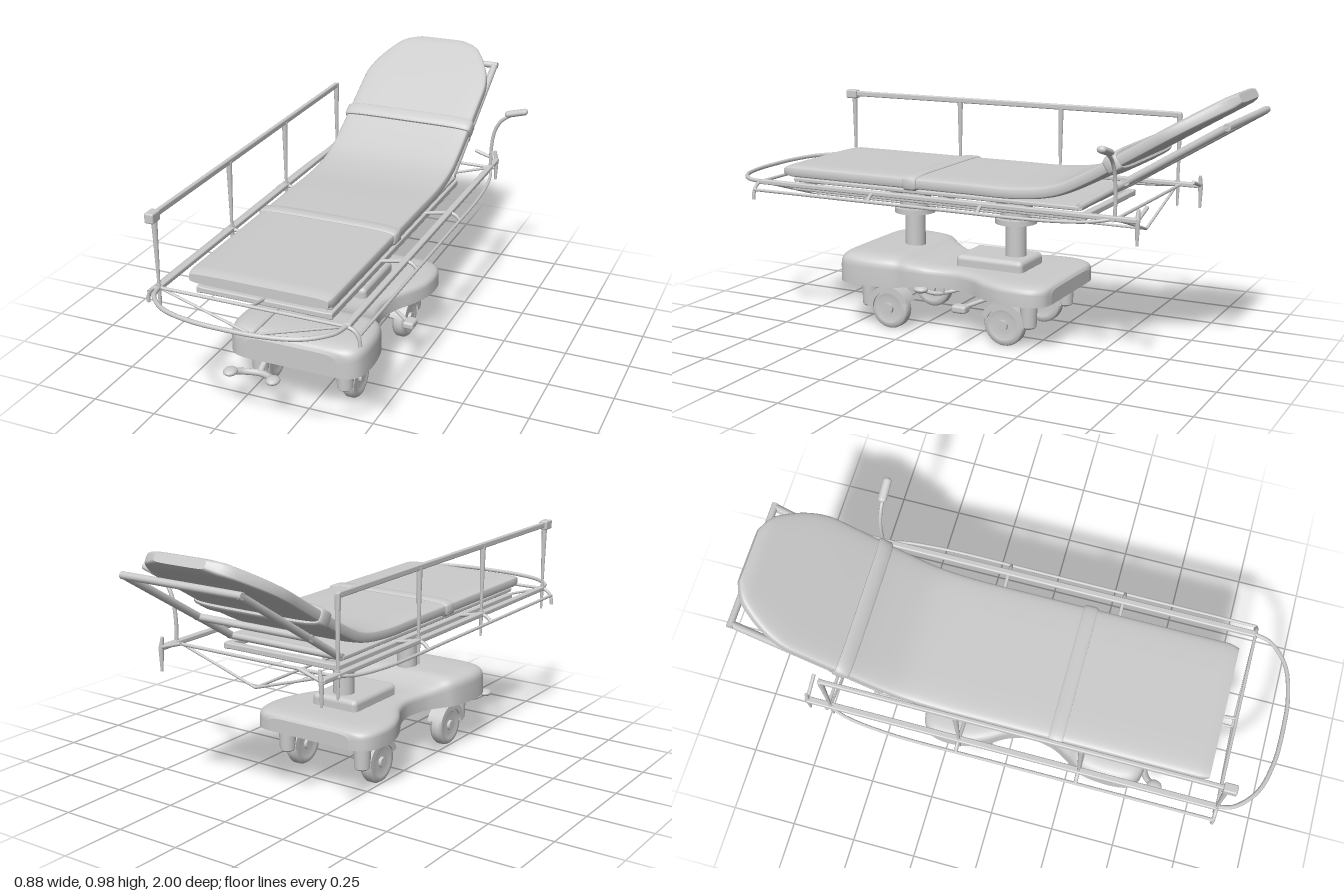
import * as THREE from 'three';
import { RoundedBoxGeometry } from 'three/addons/geometries/RoundedBoxGeometry.js';

const CX = -0.05; // centre line of the bed
const mat = new THREE.MeshStandardMaterial({ color: 0xcccccc, side: THREE.DoubleSide });
const V = (x, y, z) => new THREE.Vector3(x, y, z);

export function createModel() {
  const root = new THREE.Group();
  root.name = 'hospitalStretcher';

  const add = (name, geo, x = 0, y = 0, z = 0, parent = root) => {
    const m = new THREE.Mesh(geo, mat);
    m.name = name;
    m.position.set(x, y, z);
    parent.add(m);
    return m;
  };
  const box = (name, w, h, d, x, y, z, r = 0.005) =>
    add(name, new RoundedBoxGeometry(w, h, d, 2, r), x, y, z);
  // Straight round bar between two points, optionally tapered
  const bar = (name, a, b, r0, r1 = r0) => {
    const d = b.clone().sub(a);
    const m = add(name, new THREE.CylinderGeometry(r1, r0, d.length(), 10));
    m.position.copy(a).addScaledVector(d, 0.5);
    m.quaternion.setFromUnitVectors(V(0, 1, 0), d.normalize());
  };
  const tube = (name, pts, r, seg = 40) =>
    add(name, new THREE.TubeGeometry(new THREE.CatmullRomCurve3(pts), seg, r, 8));

  // Loft of rounded-rectangle sections running from +z to -z: { z, y, w, h, t }
  // floor limits how far a section reaches below its centre (0 = flat underside)
  const loft = (name, sections, power, floor = -1) => {
    const N = 40, pos = [], idx = [];
    const sp = (v) => Math.sign(v) * Math.pow(Math.abs(v), power);
    const ring = (s) => {
      for (let j = 0; j < N; j++) {
        const a = (j / N) * Math.PI * 2, t = s.t || 0;
        const v = s.h * Math.max(floor, sp(Math.sin(a)));
        pos.push(CX + s.w * sp(Math.cos(a)), s.y + v * Math.cos(t), s.z + v * Math.sin(t));
      }
    };
    sections.forEach(ring);
    const last = sections.length - 1;
    for (let i = 0; i < last; i++) for (let j = 0; j < N; j++) {
      const a = i * N + j, b = i * N + (j + 1) % N;
      idx.push(a, a + N, b, b, a + N, b + N);
    }
    [sections[0], sections[last]].forEach((s, k) => {
      const c = pos.length / 3;
      pos.push(CX, s.y, s.z);
      ring(s);
      for (let j = 0; j < N; j++) {
        const a = c + 1 + j, b = c + 1 + (j + 1) % N;
        idx.push(c, k ? b : a, k ? a : b);
      }
    });
    const g = new THREE.BufferGeometry();
    g.setAttribute('position', new THREE.Float32BufferAttribute(pos, 3));
    g.setIndex(idx);
    g.computeVertexNormals();
    add(name, g);
  };

  // Mattress: flat at the foot, bent up to the head, with a narrowed rounded top
  const path = new THREE.CatmullRomCurve3([
    [0.77, 0.602], [0.4, 0.602], [0, 0.602], [-0.24, 0.604], [-0.38, 0.627], [-0.5, 0.683],
    [-0.6, 0.742], [-0.8, 0.861], [-0.985, 0.968],
  ].map(([z, y]) => V(0, y, z)));
  const section = (u, w, h) => {
    const p = path.getPointAt(u), d = path.getTangentAt(u);
    return { z: p.z, y: p.y, w, h, t: Math.atan2(d.y, -d.z) };
  };
  const mattress = [];
  for (let i = 0; i <= 96; i++) {
    const u = i / 96;
    const foot = Math.min(1, u / 0.016), head = Math.max(0, (u - 0.86) / 0.14);
    const tip = Math.max(0, (head - 0.85) / 0.15);
    const w = 0.265 - 0.01 * (1 - foot) - 0.125 * Math.pow(head, 1.9) - 0.035 * tip * tip;
    const h = 0.026 * (0.7 + 0.3 * foot) * (1 - 0.35 * tip * tip);
    mattress.push(section(u, w, h));
  }
  loft('mattress', mattress, 0.35);

  // Straps wrapped round the mattress
  for (const [u, h] of [[0.307, 0.034], [0.755, 0.04]]) {
    loft('strap', [-0.015, -0.011, 0, 0.011, 0.015].map((o) => {
      const edge = Math.abs(o) > 0.012 ? 0.006 : 0;
      return section(u + o, 0.274 - edge, h - edge);
    }), 0.4);
  }

  // Deck under the flat part, with side rails and cross members
  box('deckPanel', 0.5, 0.016, 1.2, CX, 0.57, 0.13);
  for (const s of [-1, 1]) box('deckRail', 0.025, 0.025, 1.23, CX + s * 0.24, 0.541, 0.12);
  for (const z of [0.72, 0.33, 0.1, -0.11, -0.48]) box('deckCrossMember', 0.48, 0.022, 0.03, CX, 0.541, z);

  // Open backrest frame under the raised part
  const backPoint = (x, k) => V(CX + x, 0.575 + 0.315 * k, -0.47 - 0.515 * k);
  for (const s of [-1, 1]) bar('backrestSide', backPoint(s * 0.235, 0), backPoint(s * 0.235, 1), 0.014);
  for (const k of [0, 0.33, 1]) bar('backrestCrossBar', backPoint(-0.248, k), backPoint(0.248, k), 0.013);

  // Perimeter frame, mirrored about the centre line
  for (const s of [-1, 1]) {
    const X = (d) => CX + s * d;
    box('sideBar', 0.024, 0.018, 1.54, X(0.342), 0.571, 0.05);
    tube('bumperBar', [V(X(0.342), 0.57, -0.64), V(X(0.365), 0.558, -0.57), V(X(0.383), 0.548, -0.4),
      V(X(0.385), 0.546, 0), V(X(0.385), 0.546, 0.45), V(X(0.385), 0.546, 0.82)], 0.006);
    for (const z of [0.31, -0.14]) {
      tube('bumperBracket', [V(X(0.335), 0.572, z), V(X(0.365), 0.564, z), V(X(0.385), 0.546, z)], 0.007, 10);
      bar('sideLink', V(X(0.24), 0.55, z), V(X(0.34), 0.57, z), 0.007);
    }
    tube('footBracket', [V(X(0.33), 0.572, 0.82), V(X(0.365), 0.562, 0.82),
      V(X(0.383), 0.54, 0.82), V(X(0.388), 0.508, 0.82)], 0.007, 12);
    bar('headPost', V(X(0.342), 0.485, -0.72), V(X(0.342), 0.575, -0.72), 0.005, 0.01);
    bar('headPostTop', V(X(0.342), 0.565, -0.72), V(X(0.335), 0.61, -0.72), 0.01, 0.006);
    bar('headStub', V(X(0.25), 0.6, -0.72), V(X(0.342), 0.572, -0.72), 0.007);
    // V brace halves below the frame
    for (const z of [0.82, -0.63]) bar('trussBrace', V(X(0.34), 0.57, z), V(CX, 0.465, z), 0.005);
  }
  bar('trussBeam', V(CX, 0.465, 0.82), V(CX, 0.465, -0.63), 0.005);
  bar('footCrossBar', V(-0.4, 0.57, 0.82), V(0.3, 0.57, 0.82), 0.006);
  bar('headCrossBar', V(-0.41, 0.568, -0.64), V(0.31, 0.568, -0.64), 0.006);
  bar('footStay', V(CX, 0.545, 0.7), V(CX, 0.57, 0.82), 0.006);

  // Push loop beyond the foot
  tube('footLoop', [[-0.342, 0.82], [-0.325, 0.88], [-0.25, 0.95], [-0.13, 0.985], [0, 0.992],
    [0.13, 0.985], [0.25, 0.95], [0.325, 0.88], [0.342, 0.82]].map(([x, z]) => V(CX + x, 0.572, z)), 0.008, 60);

  // Raised guard rail on the right side
  box('guardRailTop', 0.016, 0.022, 1.47, -0.392, 0.836, 0.105);
  box('guardRailKnob', 0.034, 0.036, 0.05, -0.392, 0.834, 0.83, 0.006);
  box('guardRailEnd', 0.02, 0.06, 0.016, -0.392, 0.815, -0.63);
  for (const z of [0.82, 0.31, -0.14, -0.63]) {
    bar('guardRailPost', V(-0.392, 0.57, z), V(-0.392, 0.835, z), 0.005, 0.011);
    bar('guardRailPivot', V(-0.392, 0.485, z), V(-0.392, 0.585, z), 0.004, 0.009);
  }

  // Curved lever with flat grip on the left side
  tube('leverShaft', [V(0.292, 0.57, -0.64), V(0.293, 0.66, -0.64), V(0.305, 0.73, -0.64),
    V(0.33, 0.775, -0.64), V(0.375, 0.808, -0.64)], 0.007);
  const grip = add('leverGrip', new THREE.CapsuleGeometry(0.013, 0.07, 6, 14), 0.39, 0.816, -0.64);
  grip.rotation.z = -1.3;
  grip.scale.z = 1.3;

  // Telescopic columns
  const profile = [[0, 0.26], [0.04, 0.26], [0.04, 0.435], [0.08, 0.435], [0.08, 0.455],
    [0.06, 0.455], [0.06, 0.49], [0.07, 0.51], [0.071, 0.538], [0, 0.538]];
  for (const z of [0.33, -0.11]) {
    // each profile edge is turned separately so its ends stay sharp
    for (let i = 0; i < profile.length - 1; i++) {
      const pts = [profile[i], profile[i + 1]].map(([r, y]) => new THREE.Vector2(r, y));
      add('column', new THREE.LatheGeometry(pts, 32), CX, 0, z);
    }
  }

  // Waisted base with soft top edges and a taller foot end: half width, top height, z
  const base = new THREE.CatmullRomCurve3([
    [0.18, 0.275, 0.545], [0.222, 0.292, 0.535], [0.25, 0.303, 0.51], [0.264, 0.308, 0.46],
    [0.262, 0.307, 0.36], [0.245, 0.303, 0.29], [0.215, 0.285, 0.245], [0.18, 0.268, 0.18],
    [0.165, 0.265, 0.08], [0.185, 0.265, 0], [0.23, 0.265, -0.08], [0.26, 0.265, -0.16],
    [0.264, 0.265, -0.25], [0.25, 0.262, -0.3], [0.222, 0.255, -0.329], [0.18, 0.242, -0.34],
  ].map((p) => V(...p)));
  loft('base', base.getPoints(75).map((p) => ({ z: p.z, y: 0.188, w: p.x, h: p.y - 0.188 })), 0.28, 0);
  box('columnHousing', 0.2, 0.07, 0.28, CX, 0.273, -0.04, 0.02);

  // Casters: s is the side, e the direction of the stem
  for (const s of [-1, 1]) for (const [z, e] of [[0.345, 1], [-0.147, -1]]) {
    const caster = new THREE.Group();
    caster.name = 'caster';
    caster.position.set(CX - 0.004 + s * 0.17, 0.085, z);
    root.add(caster);
    const wheel = [[0.015, -0.02], [0.05, -0.018], [0.055, -0.025], [0.074, -0.023], [0.081, -0.012],
      [0.081, 0.012], [0.074, 0.023], [0.055, 0.025], [0.05, 0.018], [0.015, 0.02]];
    add('wheel', new THREE.LatheGeometry(wheel.map(([r, y]) => new THREE.Vector2(r, y)), 32),
      0, 0, 0, caster).rotation.z = Math.PI / 2;
    add('axle', new THREE.CylinderGeometry(0.02, 0.02, 0.062, 16), 0, 0, 0, caster).rotation.z = Math.PI / 2;
    // Fender: an arch hugging the upper half of the wheel
    const arch = new THREE.Shape();
    arch.absarc(0, 0, 0.09, 0, Math.PI - 0.35, false);
    arch.absarc(0, 0, 0.066, Math.PI - 0.35, 0, true);
    const fender = new THREE.ExtrudeGeometry(arch, { depth: 0.064, bevelEnabled: false, curveSegments: 20 });
    fender.translate(0, 0, -0.032);
    add('fender', fender, 0, 0, 0, caster).rotation.y = -e * Math.PI / 2;
    add('stem', new THREE.CylinderGeometry(0.034, 0.03, 0.11, 20), 0, 0.06, e * 0.095, caster);
    add('stemFoot', new THREE.SphereGeometry(0.03, 16, 10), 0, 0.008, e * 0.095, caster).scale.y = 0.5;
  }

  // Foot pedals: curved bars with pads at the ends
  const pedal = (pts, r) => {
    tube('pedal', pts, r, 24);
    for (const p of [pts[0], pts[pts.length - 1]]) {
      add('pedalPad', new THREE.SphereGeometry(1, 14, 10), p.x, p.y, p.z).scale.set(0.026, 0.014, 0.03);
    }
  };
  pedal([V(-0.262, 0.155, 0.6), V(-0.23, 0.14, 0.56), V(-0.17, 0.135, 0.54), V(-0.12, 0.138, 0.56), V(-0.092, 0.157, 0.6)], 0.013);
  bar('pedalArm', V(-0.175, 0.138, 0.54), V(-0.175, 0.19, 0.45), 0.012);
  pedal([V(0, 0.168, 0.08), V(0.035, 0.153, 0.13), V(0.08, 0.152, 0.17), V(0.105, 0.168, 0.22)], 0.008);
  bar('pedalArm', V(0.06, 0.15, 0.15), V(0.06, 0.2, 0.15), 0.008);
  bar('sidePedalArm', V(0.1, 0.165, -0.06), V(0.19, 0.145, 0), 0.008);
  bar('sidePedalPost', V(0.1, 0.16, -0.06), V(0.1, 0.2, -0.06), 0.008);
  box('sidePedalPad', 0.045, 0.03, 0.06, 0.195, 0.145, 0, 0.01);
  return root;
}
